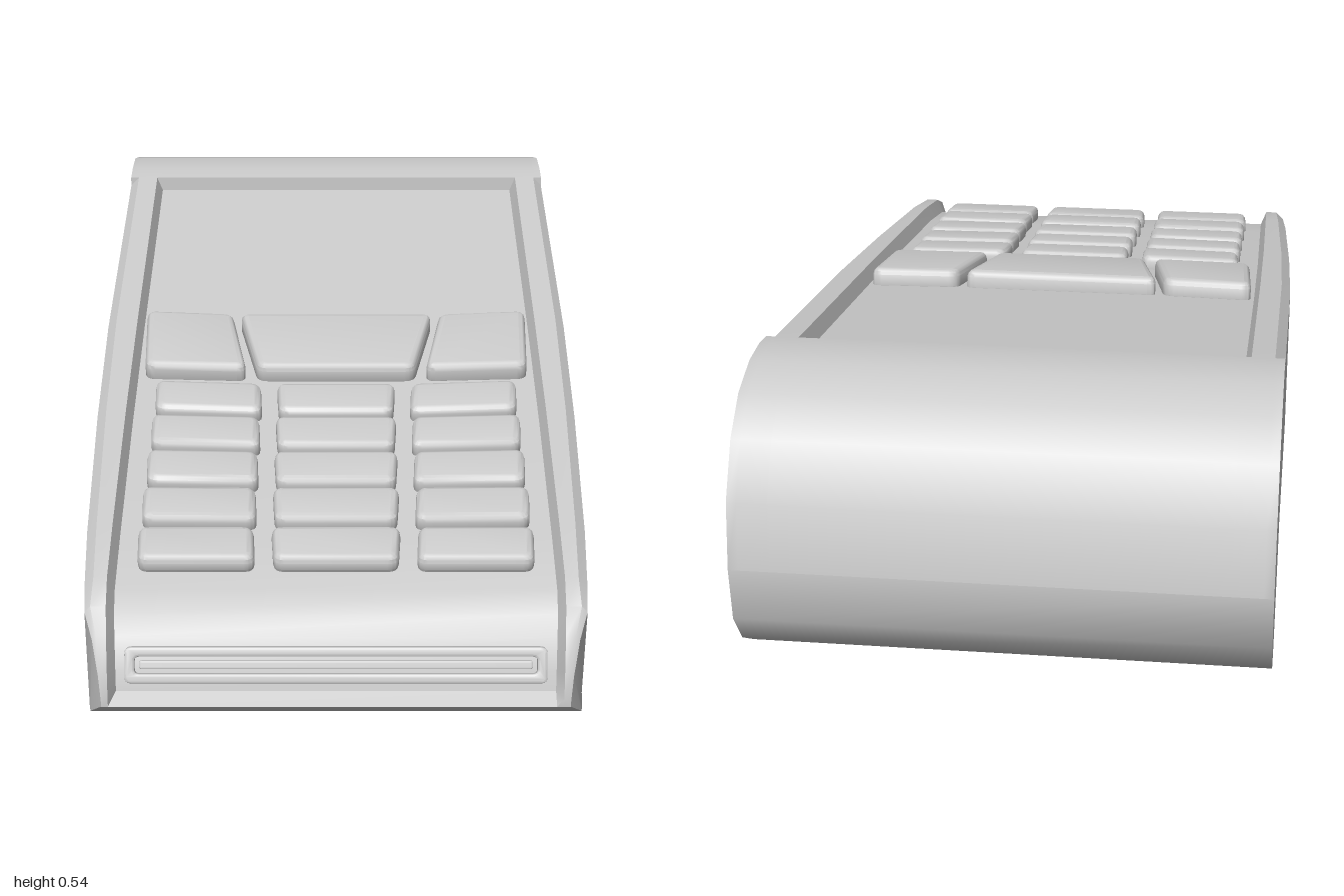
import * as THREE from 'three';
import { toCreasedNormals } from 'three/addons/utils/BufferGeometryUtils.js';

const grey = new THREE.MeshStandardMaterial({ color: 0xcccccc });
const DEPTH = 0.03; // how far the face panel sits below the rim

function addMesh(parent, name, geometry) {
  const mesh = new THREE.Mesh(toCreasedNormals(geometry, 0.6), grey);
  mesh.name = name;
  parent.add(mesh);
  return mesh;
}

// Piecewise linear lookup in [z, value] pairs
function along(pairs, z) {
  let i = 1;
  while (i < pairs.length - 1 && z > pairs[i][0]) i++;
  const [a, b] = [pairs[i - 1], pairs[i]];
  const t = THREE.MathUtils.clamp((z - a[0]) / (b[0] - a[0]), 0, 1);
  return THREE.MathUtils.lerp(a[1], b[1], t);
}
const halfWidth = z => along([[-1, 0.475], [0.1, 0.475], [0.5, 0.463], [0.8, 0.45], [0.93, 0.44], [1, 0.41]], z);
const rimInner = z => along([[-1, 0.415], [0.2, 0.413], [0.9, 0.404], [1, 0.398]], z);
const chamfer = z => along([[-1, 0.018], [0.85, 0.018], [1, 0.004]], z);

// Stations from back to front: top z, top y, bottom z, bottom y
const rollStations = [
  [-1, 0.235, -1, 0.235], [-0.985, 0.36, -0.985, 0.13], [-0.93, 0.455, -0.93, 0.06],
  [-0.86, 0.51, -0.85, 0.01], [-0.77, 0.535, -0.77, 0], [-0.69, 0.535, -0.69, 0.022],
  [-0.64, 0.527, -0.59, 0.085],
];
const faceStations = [
  [-0.64, 0.527, -0.59, 0.085], [-0.53, 0.508, -0.53, 0.145], [0, 0.418, 0, 0.105],
  [0.34, 0.36, 0.34, 0.07], [0.72, 0.295, 0.7, 0.037], [0.87, 0.262, 0.77, 0.008],
  [0.93, 0.235, 0.83, 0], [0.965, 0.195, 0.88, 0.005], [0.99, 0.135, 0.94, 0.032],
  [1, 0.09, 0.99, 0.068],
];

// Cross-section of the body, counter-clockwise seen from the front
function section([tz, ty, bz, by], floor, drop) {
  const h = halfWidth(tz), hb = halfWidth(bz), c = chamfer(tz), ri = rimInner(tz);
  const half = [
    [hb, by, bz], [h, ty - drop, tz], [h - c, ty, tz], [ri, ty, tz], [ri - 0.012, floor[1], floor[0]],
  ];
  const mirrored = half.map(([x, y, z]) => [-x, y, z]).reverse();
  return [...half, ...mirrored];
}

function bodyGeometry() {
  const rings = rollStations.map(s => section(s, s, 0));
  faceStations.forEach((s, i) => {
    // Push the panel floor inwards along the profile normal
    const a = faceStations[Math.max(i - 1, 0)], b = faceStations[Math.min(i + 1, faceStations.length - 1)];
    const dz = b[0] - a[0], dy = b[1] - a[1], len = Math.hypot(dz, dy);
    const floor = [s[0] + (dy / len) * DEPTH, s[1] - (dz / len) * DEPTH];
    if (i === 0) floor[0] = s[0];
    if (i === faceStations.length - 1) floor[1] = s[1];
    rings.push(section(s, floor, chamfer(s[0])));
  });
  rings.push(section([1, 0.075, 1, 0.075], [1, 0.075], 0)); // front lip

  const n = rings[0].length, index = [];
  for (let i = 0; i < rings.length - 1; i++) {
    for (let k = 0; k < n; k++) {
      const a = i * n + k, b = i * n + (k + 1) % n, c = b + n, d = a + n;
      index.push(a, b, c, a, c, d);
    }
  }
  const geometry = new THREE.BufferGeometry();
  geometry.setAttribute('position', new THREE.Float32BufferAttribute(rings.flat(2), 3));
  geometry.setIndex(index);
  return geometry;
}

// Closed outline through the corners, each rounded by radius r
function roundedOutline(Type, corners, r) {
  const points = corners.map(([x, y]) => new THREE.Vector2(x, y));
  const outline = new Type();
  points.forEach((p, i) => {
    const prev = points[(i + points.length - 1) % points.length], next = points[(i + 1) % points.length];
    const from = p.clone().add(prev.clone().sub(p).setLength(r));
    const to = p.clone().add(next.clone().sub(p).setLength(r));
    if (i === 0) outline.moveTo(from.x, from.y); else outline.lineTo(from.x, from.y);
    outline.quadraticCurveTo(p.x, p.y, to.x, to.y);
  });
  outline.closePath();
  return outline;
}
const rect = (w, h) => [[-w / 2, -h / 2], [w / 2, -h / 2], [w / 2, h / 2], [-w / 2, h / 2]];

function raised(shape, height, bevel) {
  return new THREE.ExtrudeGeometry(shape, {
    depth: height - bevel, bevelThickness: bevel, bevelSize: bevel, bevelOffset: -bevel,
    bevelSegments: 3, curveSegments: 4,
  });
}

// Key from four [x, z] corners on the panel
function addKey(parent, name, corners, height) {
  const shape = roundedOutline(THREE.Shape, corners.map(([x, z]) => [x, -z * 1.014]), 0.02);
  addMesh(parent, name, raised(shape, height, 0.014).rotateX(-Math.PI / 2));
}
const mirror = corners => corners.map(([x, z]) => [-x, z]).reverse();

export function createModel() {
  const model = new THREE.Group();
  model.name = 'cardTerminal';
  addMesh(model, 'body', bodyGeometry());

  // Keys lie on the sloping panel
  const keypad = new THREE.Group();
  keypad.name = 'keypad';
  keypad.position.y = 0.418 - DEPTH;
  keypad.rotation.x = 0.169;
  model.add(keypad);

  const sideKey = [[0.385, 0.178], [0.395, -0.038], [0.215, -0.025], [0.18, 0.187]].reverse();
  addKey(keypad, 'leftFunctionKey', sideKey, 0.036);
  addKey(keypad, 'rightFunctionKey', mirror(sideKey), 0.036);
  addKey(keypad, 'middleFunctionKey', [[-0.158, 0.187], [0.158, 0.187], [0.2, -0.025], [-0.2, -0.025]], 0.036);

  for (let row = 0; row < 5; row++) {
    const z0 = 0.235 + row * 0.12, z1 = z0 + 0.102;
    const skew = 0.012 * (1 - row / 4); // outer ends sweep back in the upper rows
    const outer = [[0.145, z1], [0.355, z1 - skew], [0.36, z0 - skew], [0.15, z0]];
    const height = row === 4 ? 0.027 : 0.03;
    addKey(keypad, `leftKey${row + 1}`, outer, height);
    addKey(keypad, `rightKey${row + 1}`, mirror(outer), height);
    addKey(keypad, `middleKey${row + 1}`, [[-0.112, z1], [0.112, z1], [0.118, z0], [-0.118, z0]], height);
  }

  // Card slot on the nose
  const slot = new THREE.Group();
  slot.name = 'cardSlot';
  slot.position.set(0, 0.135, 0.957);
  slot.rotation.x = -0.37;
  model.add(slot);
  const frame = roundedOutline(THREE.Shape, rect(0.74, 0.064), 0.012);
  frame.holes.push(roundedOutline(THREE.Path, rect(0.705, 0.03), 0.008));
  addMesh(slot, 'slotFrame', raised(frame, 0.014, 0.004));
  addMesh(slot, 'slotBar', raised(roundedOutline(THREE.Shape, rect(0.69, 0.015), 0.005), 0.008, 0.003));

  return model;
}
